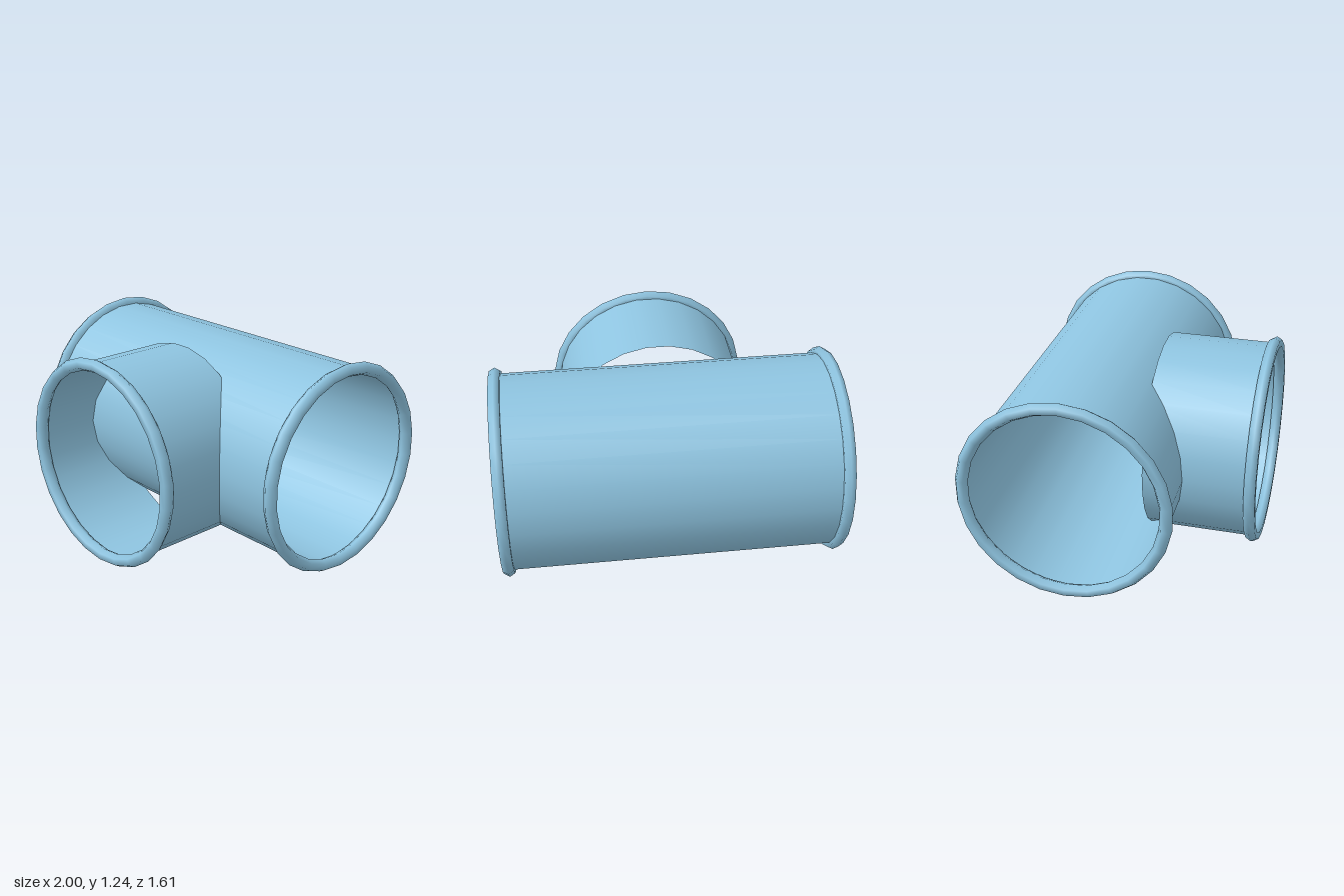
import * as THREE from 'three';

const SIDES = 26;
const RADIUS = 0.58;      // pipe wall, also the centre line of the rims
const RIM = 0.0375;       // rim thickness radius
const AXIS_Y = 0.6185;

const pipeBlue = new THREE.MeshStandardMaterial({ color: 0x8ec4e0, side: THREE.DoubleSide });
pipeBlue.name = 'pipeBlue';

// Thin open pipe along z, with a corner on each side
function pipe(name, from, to) {
  const geometry = new THREE.CylinderGeometry(RADIUS, RADIUS, to - from, SIDES, 1, true);
  geometry.rotateY(Math.PI / 2).rotateX(Math.PI / 2).translate(0, 0, (from + to) / 2);
  const mesh = new THREE.Mesh(geometry, pipeBlue);
  mesh.name = name;
  return mesh;
}

// Six-sided rim around a pipe mouth, with a corner at the top
function rim(name, z) {
  const geometry = new THREE.TorusGeometry(RADIUS, RIM, 6, SIDES);
  geometry.rotateZ(Math.PI / 2).translate(0, 0, z);
  const mesh = new THREE.Mesh(geometry, pipeBlue);
  mesh.name = name;
  return mesh;
}

export function createModel() {
  const model = new THREE.Group();
  model.name = 'teePipe';

  // Straight run, turned to lie along x
  const run = new THREE.Group();
  run.name = 'mainRun';
  run.add(pipe('mainPipe', -0.967, 0.967), rim('leftRim', 0.967), rim('rightRim', -0.967));
  run.rotation.y = Math.PI / 2;
  run.position.set(0, AXIS_Y, -0.19);

  // Branch sleeve, cut flat where it enters the run
  const branch = new THREE.Group();
  branch.name = 'branch';
  branch.add(pipe('branchPipe', 0.157, 0.772), rim('branchRim', 0.772));
  branch.position.y = AXIS_Y;

  model.add(run, branch);
  return model;
}
